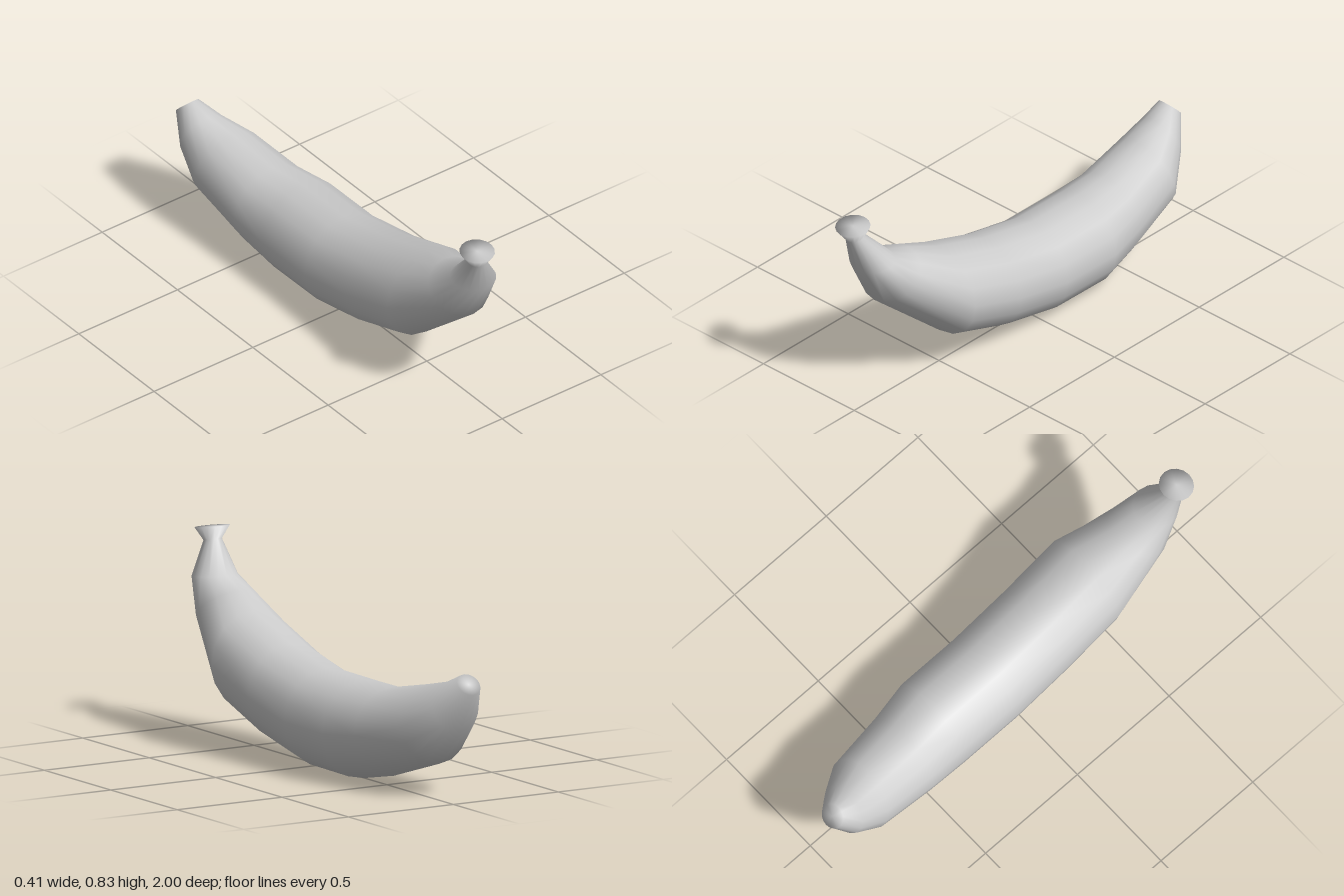
import * as THREE from 'three';

const SIDES = 16;

// Cross-sections from stem to tip:
// [inner z, inner y, outer z, outer y, centre x, half width]
const SECTIONS = [
  [0.86, 0.835, 1.0, 0.815, -0.073, 0.073],   // stem rim
  [0.885, 0.78, 0.96, 0.765, -0.07, 0.038],   // stem neck
  [0.76, 0.65, 0.945, 0.635, -0.035, 0.095],
  [0.65, 0.61, 0.85, 0.45, -0.03, 0.135],
  [0.5, 0.555, 0.5, 0.15, 0, 0.203],
  [0.23, 0.465, 0.23, 0.06, 0, 0.203],
  [-0.05, 0.407, -0.04, 0.005, 0, 0.203],
  [-0.33, 0.405, -0.33, 0.002, 0, 0.203],
  [-0.5, 0.4, -0.52, 0.04, -0.02, 0.184],
  [-0.72, 0.445, -0.82, 0.135, -0.047, 0.16],
  [-0.85, 0.475, -0.93, 0.28, -0.078, 0.107],
  [-0.93, 0.515, -1.0, 0.44, -0.095, 0.052],  // blunt tip
];

// Smooth skin lofted through the elliptical sections, closed at both ends
function loft(sections) {
  const positions = [];
  const index = [];
  for (const [zi, yi, zo, yo, cx, w] of sections) {
    for (let j = 0; j < SIDES; j++) {
      const a = (j / SIDES) * Math.PI * 2;
      const s = Math.sin(a) / 2;
      positions.push(
        cx + w * Math.cos(a),
        (yi + yo) / 2 + (yi - yo) * s,
        (zi + zo) / 2 + (zi - zo) * s
      );
    }
  }
  for (let i = 0; i < sections.length - 1; i++) {
    for (let j = 0; j < SIDES; j++) {
      const a = i * SIDES + j;
      const b = i * SIDES + ((j + 1) % SIDES);
      index.push(a, a + SIDES, b, b, a + SIDES, b + SIDES);
    }
  }
  // End caps
  for (const end of [0, sections.length - 1]) {
    const [zi, yi, zo, yo, cx] = sections[end];
    const centre = positions.length / 3;
    positions.push(cx, (yi + yo) / 2, (zi + zo) / 2);
    for (let j = 0; j < SIDES; j++) {
      const a = end * SIDES + j;
      const b = end * SIDES + ((j + 1) % SIDES);
      if (end === 0) index.push(centre, a, b);
      else index.push(centre, b, a);
    }
  }
  const geometry = new THREE.BufferGeometry();
  geometry.setAttribute('position', new THREE.Float32BufferAttribute(positions, 3));
  geometry.setIndex(index);
  geometry.computeVertexNormals();
  return geometry;
}

export function createModel() {
  const group = new THREE.Group();
  group.name = 'banana';
  const skin = new THREE.Mesh(
    loft(SECTIONS),
    new THREE.MeshStandardMaterial({ color: 0xcccccc })
  );
  skin.name = 'bananaSkin';
  group.add(skin);
  return group;
}
